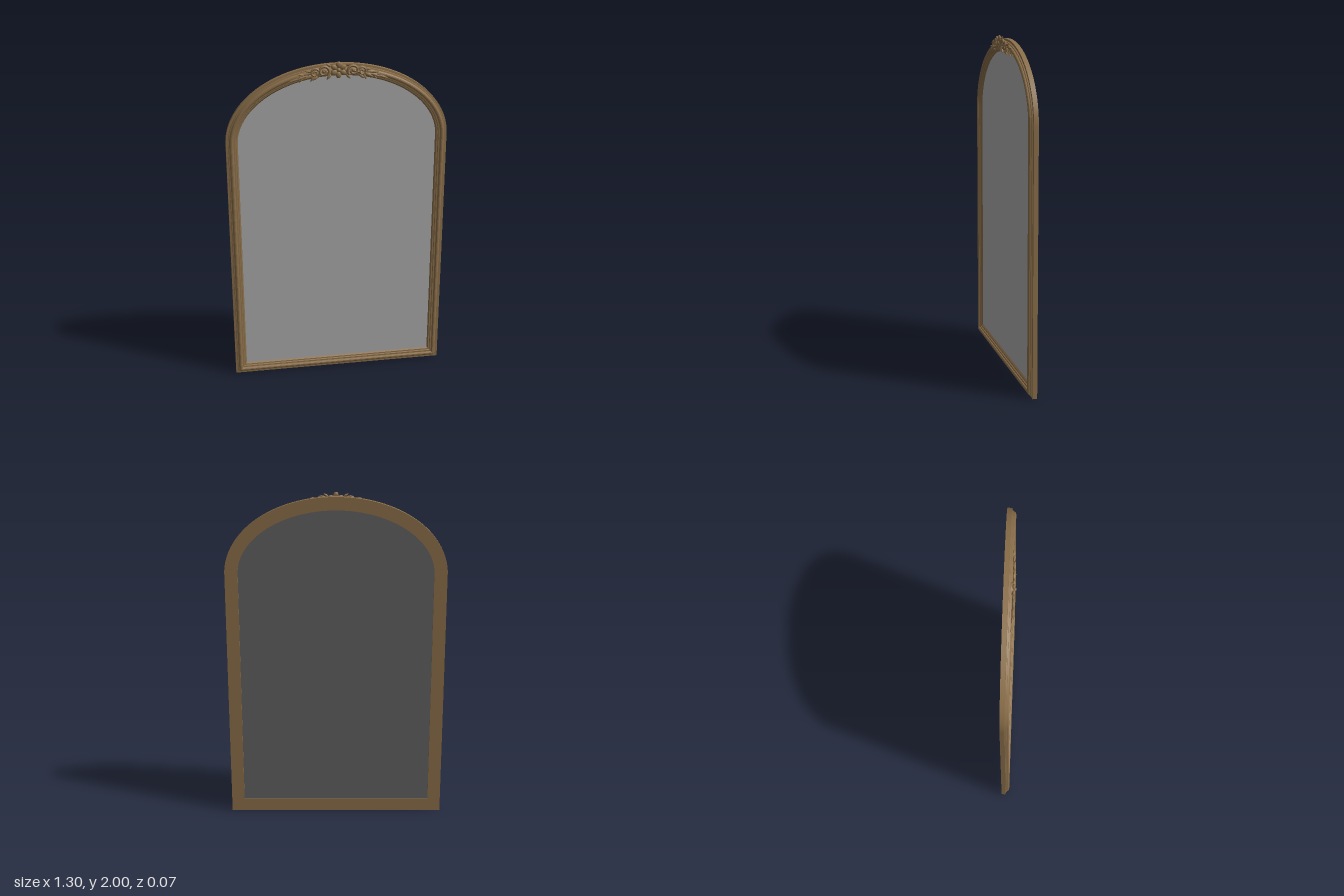
import * as THREE from 'three';
import { toCreasedNormals } from 'three/addons/utils/BufferGeometryUtils.js';

const HALF_W = 0.65, SPRING = 1.53, RISE = 0.45, ARCH_STEPS = 64;

// Outline of the arched frame, moved inward by d (counter-clockwise from the lower right)
function outline(d) {
  const pts = [new THREE.Vector2(HALF_W - d, d)];
  for (let i = 0; i <= ARCH_STEPS; i++) pts.push(archPoint(Math.PI * i / ARCH_STEPS, d));
  pts.push(new THREE.Vector2(-HALF_W + d, d));
  return pts;
}

function archPoint(t, d) {
  const n = new THREE.Vector2(Math.cos(t) / HALF_W, Math.sin(t) / RISE).normalize();
  return new THREE.Vector2(HALF_W * Math.cos(t) - n.x * d, SPRING + RISE * Math.sin(t) - n.y * d);
}

// Sweep a closed moulding profile of [inward offset, z] round the outline
function mouldingGeometry(profile) {
  const rings = profile.map(([d, z]) => outline(d).map(p => [p.x, p.y, z]));
  const pos = [], count = rings[0].length;
  for (let j = 0; j < rings.length; j++) {
    const a = rings[j], b = rings[(j + 1) % rings.length];
    for (let i = 0; i < count; i++) {
      const k = (i + 1) % count;
      pos.push(...a[i], ...a[k], ...b[k], ...a[i], ...b[k], ...b[i]);
    }
  }
  const geo = new THREE.BufferGeometry();
  geo.setAttribute('position', new THREE.Float32BufferAttribute(pos, 3));
  return toCreasedNormals(geo, 0.35);
}

// Tube along points, thinning from r0 to r1
function taperedTube(points, r0, r1) {
  const curve = new THREE.CatmullRomCurve3(points), segs = 40, sides = 8;
  const geo = new THREE.TubeGeometry(curve, segs, 1, sides);
  const p = geo.attributes.position, v = new THREE.Vector3();
  for (let i = 0; i <= segs; i++) {
    const c = curve.getPointAt(i / segs), r = r0 + (r1 - r0) * i / segs;
    for (let j = 0; j <= sides; j++) {
      const k = i * (sides + 1) + j;
      v.fromBufferAttribute(p, k).sub(c).multiplyScalar(r).add(c);
      p.setXYZ(k, v.x, v.y, v.z);
    }
  }
  geo.computeVertexNormals();
  return geo;
}

// Domed leaf pointing along +x from the origin, pinched toward its tip
function leafGeometry(length, width, thick) {
  const geo = new THREE.SphereGeometry(1, 14, 10);
  const p = geo.attributes.position;
  for (let i = 0; i < p.count; i++) {
    const u = (p.getX(i) + 1) / 2;
    p.setXYZ(i, u * length, p.getY(i) * width / 2 * (1.15 - 0.75 * u), p.getZ(i) * thick);
  }
  geo.computeVertexNormals();
  return geo;
}

export function createModel() {
  const wood = new THREE.MeshStandardMaterial({ color: 0x8b6f4a });
  wood.name = 'antique wood';
  const silver = new THREE.MeshStandardMaterial({ color: 0xacacac });
  silver.name = 'mirror silver';
  const grey = new THREE.MeshStandardMaterial({ color: 0x626262 });
  grey.name = 'backing grey';

  const model = new THREE.Group();
  model.name = 'archedMirror';
  const add = (parent, geo, mat, name) => {
    const m = new THREE.Mesh(geo, mat);
    m.name = name;
    parent.add(m);
    return m;
  };

  // Stepped frame moulding
  add(model, mouldingGeometry([
    [0, -0.035], [0, -0.008], [0.012, -0.007], [0.014, 0], [0.019, 0.001],
    [0.021, 0.009], [0.025, 0.013], [0.031, 0.015], [0.037, 0.014], [0.042, 0.01],
    [0.044, 0.004], [0.052, 0.003], [0.055, -0.003], [0.062, -0.004],
    [0.07, -0.012], [0.077, -0.012], [0.077, -0.035],
  ]), wood, 'frame');

  // Mirror glass and the panel behind it
  const glass = add(model, new THREE.ShapeGeometry(new THREE.Shape(outline(0.069))), silver, 'mirrorGlass');
  glass.position.z = -0.0115;
  const back = add(model, new THREE.ShapeGeometry(new THREE.Shape(outline(0.076))), grey, 'backPanel');
  back.rotation.y = Math.PI;
  back.position.z = -0.025;

  const crest = new THREE.Group();
  crest.name = 'crestOrnament';
  model.add(crest);

  // Central flower: petals round a beaded heart
  const flower = new THREE.Group();
  flower.name = 'flower';
  flower.position.set(0, 1.951, 0.02);
  crest.add(flower);
  for (let i = 0; i < 6; i++) {
    const a = Math.PI / 2 + i * Math.PI / 3;
    const petal = add(flower, new THREE.SphereGeometry(1, 14, 10), wood, 'petal');
    petal.scale.set(0.019, 0.015, 0.009);
    petal.position.set(Math.cos(a) * 0.03, Math.sin(a) * 0.03, 0);
    petal.rotation.z = a;
  }
  add(flower, new THREE.SphereGeometry(0.012, 14, 10), wood, 'flowerHeart').position.z = 0.002;
  const collar = add(flower, new THREE.CylinderGeometry(0.034, 0.038, 0.014, 20), wood, 'flowerBase');
  collar.rotation.x = Math.PI / 2;
  collar.position.z = -0.008;

  // Leaves for one side: [x, y, direction in degrees, length, width, z]
  const leaves = [
    [0.045, 1.925, -50, 0.036, 0.02, 0.019], [0.045, 1.972, 35, 0.032, 0.018, 0.019],
    [0.12, 1.918, -35, 0.04, 0.02, 0.019], [0.14, 1.925, -62, 0.042, 0.018, 0.017],
    [0.15, 1.925, -25, 0.055, 0.022, 0.017], [0.15, 1.945, 8, 0.045, 0.018, 0.017],
    [0.19, 1.918, -20, 0.055, 0.018, 0.014], [0.195, 1.925, 10, 0.04, 0.015, 0.014],
    [0.225, 1.908, -18, 0.065, 0.016, 0.012], [0.2, 1.912, -48, 0.035, 0.014, 0.013],
  ];
  for (const s of [1, -1]) {
    const side = new THREE.Group();
    side.name = s > 0 ? 'leftScrollwork' : 'rightScrollwork';
    crest.add(side);

    // Spiral scroll with a curling tail
    const spiral = (cx, cy, r, start, turns, dir, z) => {
      const pts = [];
      for (let i = 0; i <= 20; i++) {
        const u = i / 20, a = start + dir * u * turns * Math.PI * 2, q = r * (1 - 0.8 * u);
        pts.push(new THREE.Vector3(s * (cx + q * Math.cos(a)), cy + q * Math.sin(a), z));
      }
      return pts;
    };
    add(side, taperedTube(spiral(0.085, 1.945, 0.034, -2.4, 1.5, -1, 0.021), 0.009, 0.005), wood, 'innerScroll');
    add(side, taperedTube(spiral(0.135, 1.938, 0.026, 2.6, 1.4, -1, 0.02), 0.008, 0.004), wood, 'outerScroll');
    add(side, new THREE.SphereGeometry(0.009, 12, 8), wood, 'scrollBead').position.set(s * 0.085, 1.945, 0.021);

    // Stem following the arch out to the leaf tips
    const stem = [];
    for (let i = 0; i <= 6; i++) {
      const x = 0.05 + 0.22 * i / 6, p = archPoint(Math.acos(x / (HALF_W - 0.035)), 0.04);
      stem.push(new THREE.Vector3(s * p.x, p.y + 0.005 * Math.sin(i * 1.6), 0.015 - 0.0006 * i));
    }
    add(side, taperedTube(stem, 0.009, 0.003), wood, 'stem');

    for (const [x, y, deg, len, w, z] of leaves) {
      const leaf = add(side, leafGeometry(len, w, 0.007), wood, 'leaf');
      const a = THREE.MathUtils.degToRad(deg);
      leaf.position.set(s * x, y, z);
      leaf.rotation.z = s > 0 ? a : Math.PI - a;
    }
  }
  return model;
}
